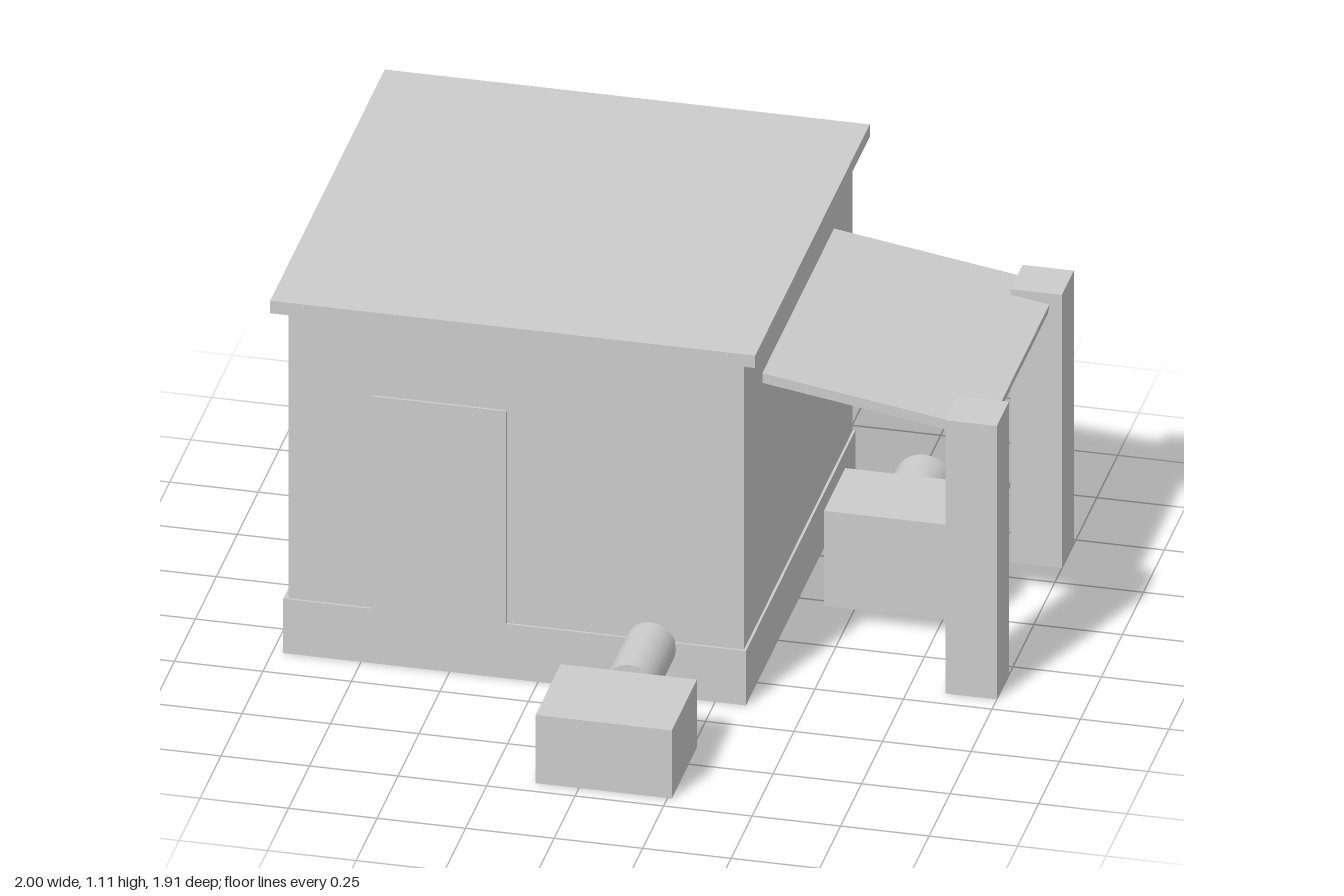
import * as THREE from 'three';

export function createModel() {
  const model = new THREE.Group();
  model.name = 'building';
  const plainGrey = new THREE.MeshStandardMaterial({ color: 0xcccccc });
  plainGrey.name = 'plainGrey';

  const add = (name, geometry) => {
    const mesh = new THREE.Mesh(geometry, plainGrey);
    mesh.name = name;
    model.add(mesh);
    return mesh;
  };
  // Box given by its limits on each axis
  const box = (name, [x0, x1], [y0, y1], [z0, z1]) => {
    const mesh = add(name, new THREE.BoxGeometry(x1 - x0, y1 - y0, z1 - z0));
    mesh.position.set((x0 + x1) / 2, (y0 + y1) / 2, (z0 + z1) / 2);
    return mesh;
  };
  // Cylinder lying along z
  const barrel = (name, radius, x, y, z0, z1) => {
    const geometry = new THREE.CylinderGeometry(radius, radius, z1 - z0, 32);
    geometry.rotateX(Math.PI / 2);
    add(name, geometry).position.set(x, y, (z0 + z1) / 2);
  };

  // House
  box('plinth', [-0.97, 0.337], [0, 0.17], [-0.92, 0.385]);
  box('walls', [-0.957, 0.33], [0.17, 1.075], [-0.913, 0.378]);
  box('roof', [-1, 0.37], [1.075, 1.114], [-0.953, 0.414]);
  box('door', [-0.72, -0.34], [0.17, 0.835], [0.37, 0.385]);
  box('window', [0.32, 0.337], [0.69, 0.855], [-0.613, -0.352]);

  // Sloping side canopy, from the wall down to the posts
  const [xa, ya, xb, yb] = [0.325, 0.905, 0.963, 0.806];
  const canopy = add('canopy', new THREE.BoxGeometry(Math.hypot(xb - xa, yb - ya), 0.03, 0.855));
  canopy.position.set((xa + xb) / 2, (ya + yb) / 2, -0.268);
  canopy.rotation.z = Math.atan2(yb - ya, xb - xa);
  for (const z of [0.12, -0.655]) {
    box('canopyPost', [0.855, 1], [0, 0.855], [z - 0.072, z + 0.072]);
  }

  // Crate and barrel under the canopy
  box('sideCrate', [0.433, 0.82], [0.045, 0.343], [-0.393, -0.14]);
  barrel('sideBarrel', 0.085, 0.627, 0.257, -0.52, -0.38);

  // Crate and barrel in front of the house
  box('frontCrate', [-0.123, 0.262], [0, 0.213], [0.652, 0.953]);
  barrel('frontBarrel', 0.072, 0.067, 0.15, 0.37, 0.63);

  return model;
}
